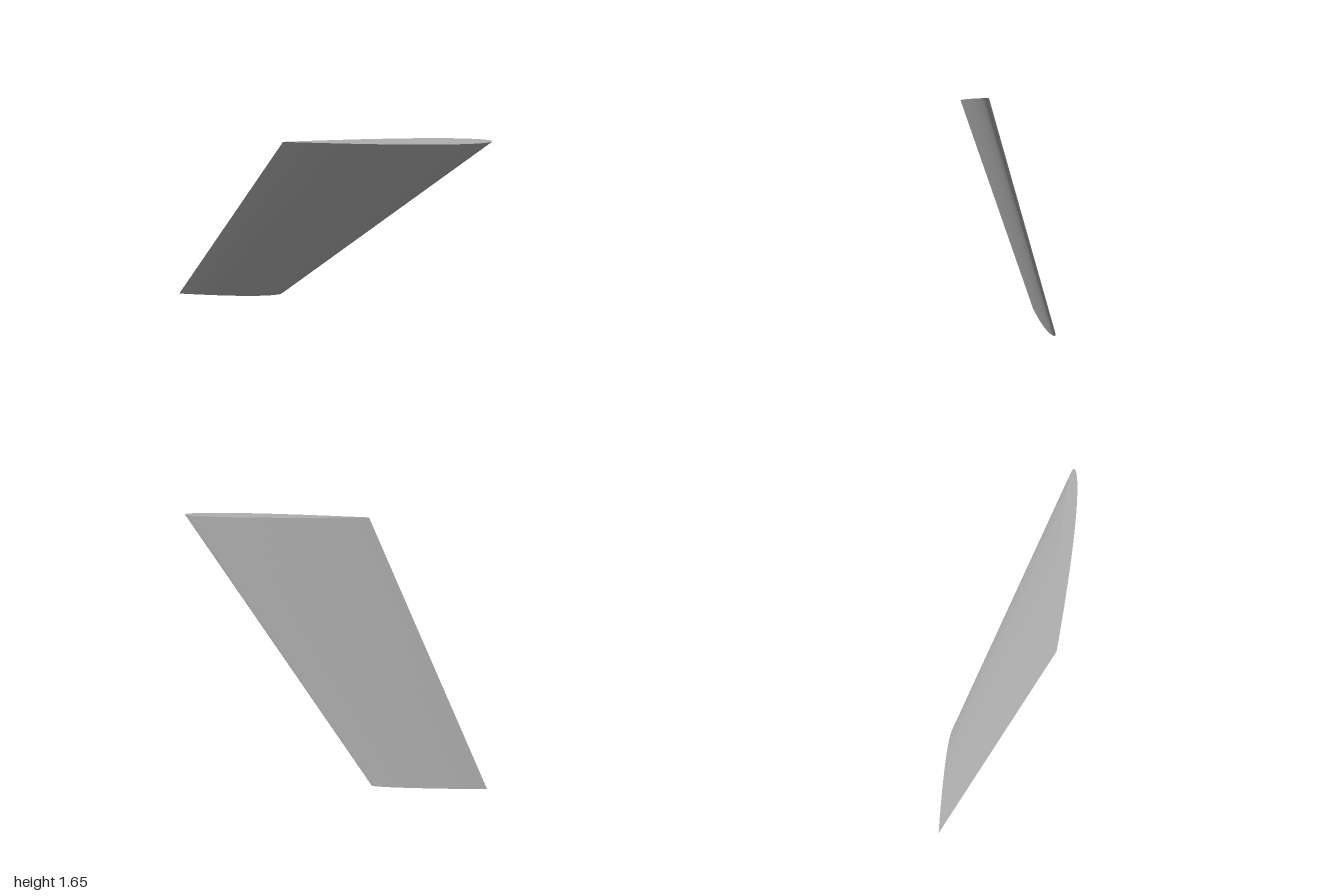
import * as THREE from 'three';

const N = 28; // points per side of the section
const TILT = Math.atan2(0.66, 1.636); // lean of the blade towards the front

// Half thickness of a symmetric foil, t = 0 at the leading edge, 1 at the trailing edge
const halfThickness = t => Math.max(0, 0.3 * (0.2969 * Math.sqrt(t) - 0.126 * t
  - 0.3516 * t * t + 0.2843 * t ** 3 - 0.1036 * t ** 4));

// Closed section running trailing edge -> front face -> leading edge -> back face -> trailing edge
function section({ tail, nose, y, z, ratio, dir }) {
  const points = [];
  for (let i = 0; i <= 2 * N; i++) {
    const a = (i / N) * Math.PI;
    const t = (1 + Math.cos(a)) / 2;
    const chord = nose - tail;
    const side = (i <= N ? 1 : -1) * halfThickness(t) * chord * ratio;
    points.push(new THREE.Vector3(nose - t * chord, y + side * dir[0], z + side * dir[1]));
  }
  return points;
}

function geometryFrom(points, index) {
  const g = new THREE.BufferGeometry().setFromPoints(points);
  g.setIndex(index);
  g.computeVertexNormals();
  return g;
}

export function createModel() {
  const group = new THREE.Group();
  group.name = 'sweptFin';
  const grey = new THREE.MeshStandardMaterial({ color: 0xb0b0b0 });
  grey.name = 'grey';

  // The narrow end is cut square to the lean, the wide end is cut level
  const tip = section({ tail: -1, nose: -0.235, y: 0.0085, z: -0.338, ratio: 1 / 0.5 * 0.2 * 0.5 / 0.1 * 0.5,
    dir: [-Math.sin(TILT), Math.cos(TILT)] });
  const root = section({ tail: -0.175, nose: 1, y: 1.645, z: 0.32, ratio: 1,
    dir: [0, 1 / Math.cos(TILT)] });

  // Smooth skin, left open at the trailing edge so that edge stays sharp
  const count = 2 * N + 1;
  const skin = [];
  for (let i = 0; i < 2 * N; i++) {
    const a = i, b = i + 1, c = count + i, d = count + i + 1;
    skin.push(a, b, d, a, d, c);
  }
  const blade = new THREE.Mesh(geometryFrom([...tip, ...root], skin), grey);
  blade.name = 'bladeSkin';
  group.add(blade);

  // Flat end caps, stitched between the front and back faces
  const addCap = (points, up, name) => {
    const index = [];
    const tri = (a, b, c) => (up ? index.push(a, b, c) : index.push(a, c, b));
    for (let i = 0; i < N; i++) {
      const j = 2 * N - i;
      if (i > 0) tri(i, i + 1, j);
      if (i < N - 1) tri(i + 1, j - 1, j);
    }
    const cap = new THREE.Mesh(geometryFrom(points, index), grey);
    cap.name = name;
    group.add(cap);
  };
  addCap(root, true, 'rootCap');
  addCap(tip, false, 'tipCap');
  return group;
}
